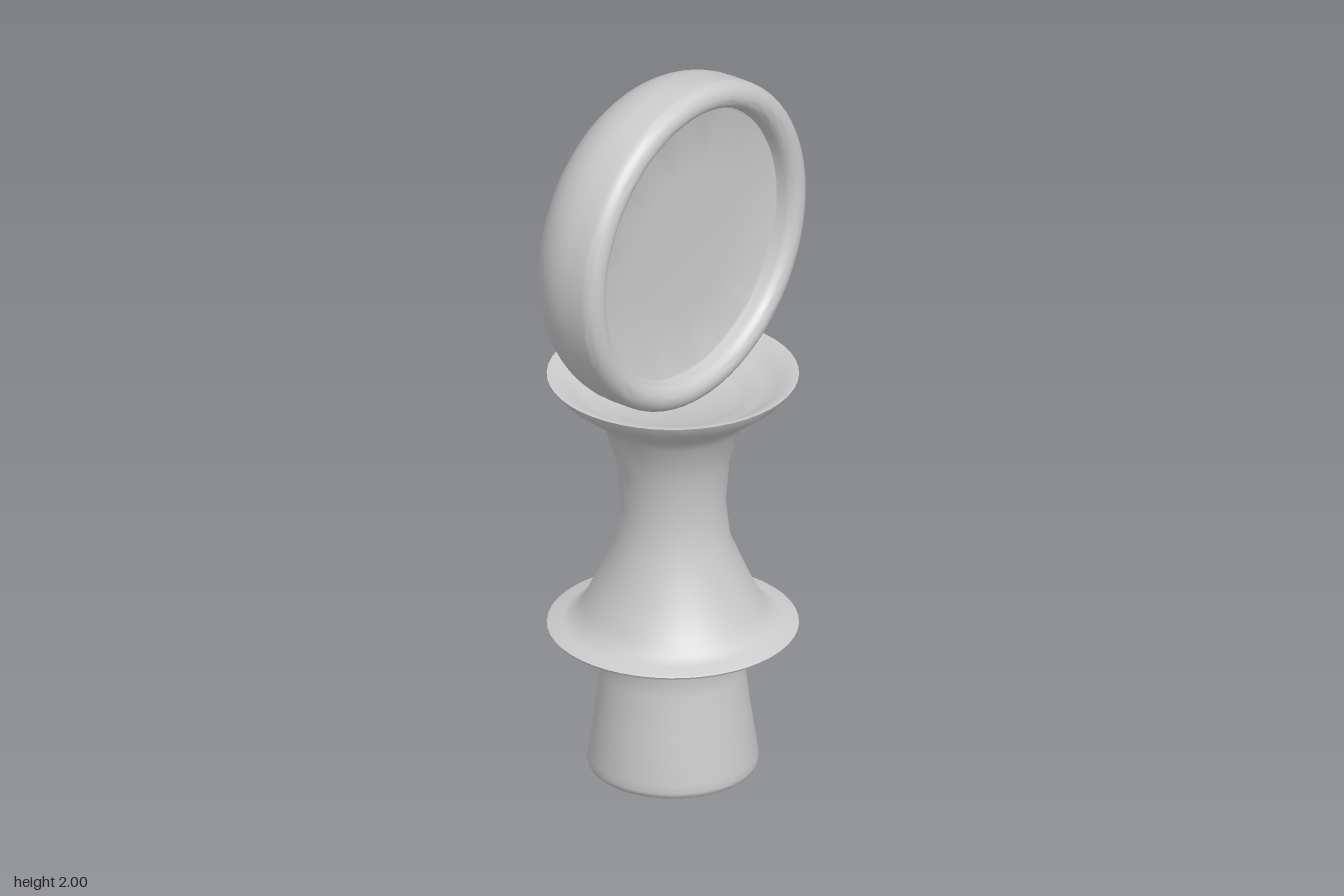
import * as THREE from 'three';
import { toCreasedNormals } from 'three/addons/utils/BufferGeometryUtils.js';

const material = new THREE.MeshStandardMaterial({ color: 0xcccccc });

// Revolve a [radius, height] profile; soft bends stay smooth, corners stay sharp.
function turned(name, profile, segments) {
  const points = profile.map(([r, y]) => new THREE.Vector2(r, y));
  const geometry = toCreasedNormals(new THREE.LatheGeometry(points, segments), 0.65);
  const mesh = new THREE.Mesh(geometry, material);
  mesh.name = name;
  return mesh;
}

// Points on a quarter-ellipse from angle a to b (degrees).
function arc(cx, cy, rx, ry, a, b, n) {
  return Array.from({ length: n + 1 }, (_, i) => {
    const t = THREE.MathUtils.degToRad(a + ((b - a) * i) / n);
    return [cx + rx * Math.cos(t), cy + ry * Math.sin(t)];
  });
}

export function createModel() {
  const group = new THREE.Group();

  // Tapered foot, thin flange, waisted stem and dished cup
  group.add(turned('stand', [
    [0, 0.005], [0.205, 0.005],
    ...arc(0.205, 0.025, 0.02, 0.02, -75, 0, 4),
    [0.224, 0.045], [0.205, 0.17], [0.19, 0.29], [0.185, 0.345], [0.192, 0.362],
    [0.26, 0.388], [0.328, 0.414], [0.331, 0.42], [0.325, 0.424],
    [0.29, 0.43], [0.262, 0.445], [0.235, 0.48], [0.2, 0.555], [0.151, 0.67],
    [0.139, 0.78], [0.15, 0.9], [0.184, 1.01], [0.21, 1.045], [0.255, 1.075],
    [0.3, 1.11], [0.328, 1.143], [0.331, 1.15], [0.317, 1.15],
    [0.28, 1.125], [0.235, 1.105], [0.193, 1.095], [0.17, 1.08], [0, 1.08],
  ], 48));

  // Round head: flat back, broad rounded shoulder, tight front rim, shallow recess
  const head = turned('head', [
    [0, -0.175], [0.285, -0.175],
    ...arc(0.285, 0, 0.17, 0.175, -85, 0, 12),
    [0.455, 0.03],
    ...arc(0.415, 0.06, 0.04, 0.04, 0, 90, 6),
    ...arc(0.415, 0.065, 0.035, 0.035, 105, 180, 5),
    [0.376, 0.045], [0.368, 0.042], [0.2, 0.038], [0, 0.035],
  ], 64);
  head.rotation.x = Math.PI / 2;
  head.position.y = 1.545;
  group.add(head);

  return group;
}
